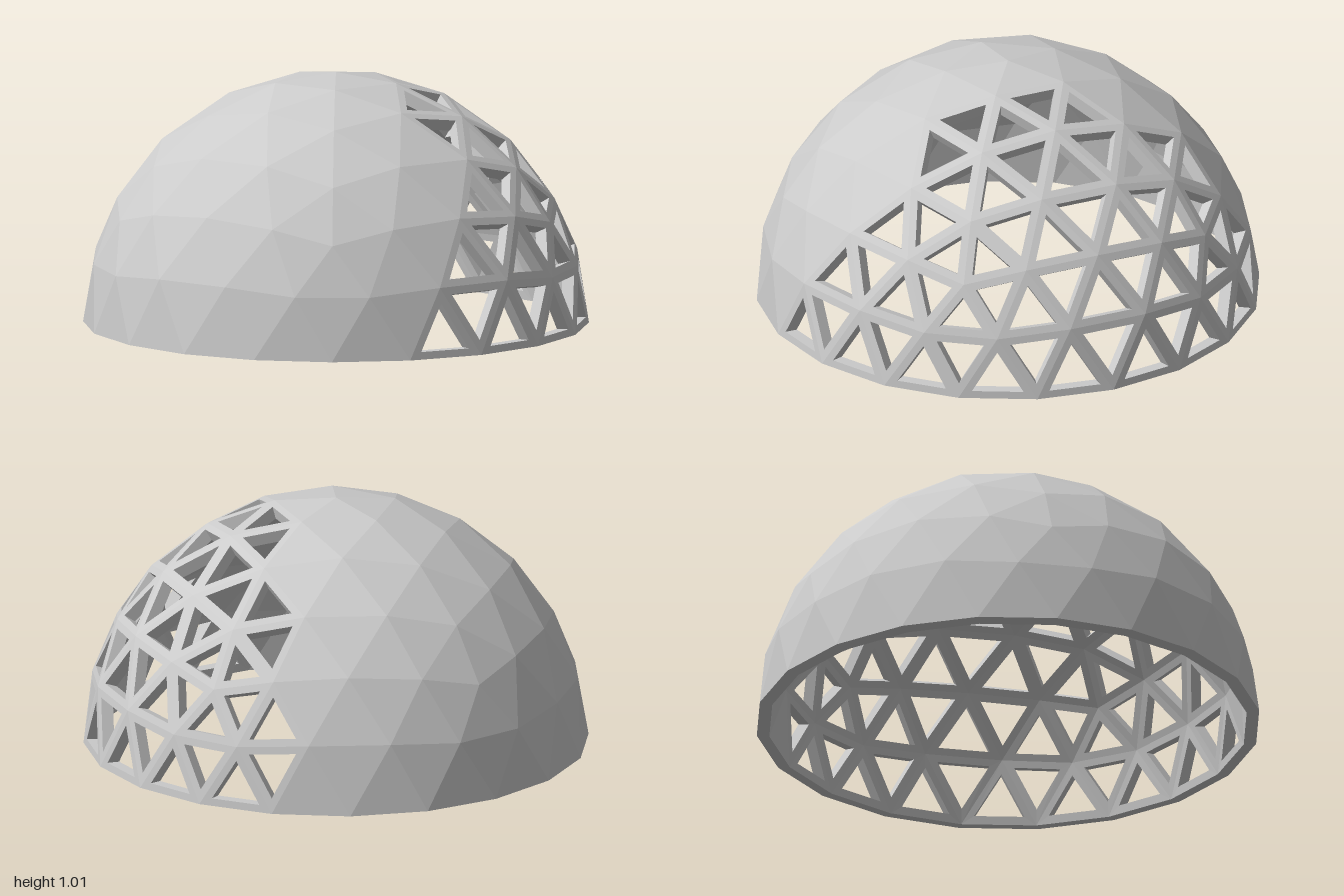
import * as THREE from 'three';

const SHELL = 0.95;   // inner surface as a fraction of the outer radius
const INSET = 0.03;   // half the strut width
const LIFT = 0.007;   // the inner rim sits slightly lower than the outer rim
const FREQ = 4;       // subdivisions per icosahedron edge

// Azimuth range (degrees, from +x towards +z) of open panels in each row from the top
const OPEN = [null, [10, 100], [-14, 100], [-19, 102], [-21, 113], [-22, 121]];

const ringPoint = (deg, y) => {
  const a = THREE.MathUtils.degToRad(deg), r = Math.sqrt(1 - y * y);
  return new THREE.Vector3(r * Math.cos(a), y, r * Math.sin(a));
};

const inner = (p) => {
  const q = p.clone().multiplyScalar(SHELL);
  if (Math.abs(p.y) < 1e-4) q.y = -LIFT;
  return q;
};

// Geodesic triangles of the upper half, each with its row counted from the top
function domeTriangles() {
  const list = [];
  const split = (a, b, c, rowOf) => {
    const at = (i, j) => new THREE.Vector3()
      .addScaledVector(a, (FREQ - i) / FREQ)
      .addScaledVector(b, (i - j) / FREQ)
      .addScaledVector(c, j / FREQ).normalize();
    const add = (row, p, q, r) => {
      if (row >= 6) return;
      const n = q.clone().sub(p).cross(r.clone().sub(p));
      list.push({ row, pts: n.dot(p) > 0 ? [p, q, r] : [p, r, q] });
    };
    for (let i = 0; i < FREQ; i++) {
      for (let j = 0; j <= i; j++) {
        add(rowOf(i), at(i, j), at(i + 1, j), at(i + 1, j + 1));
        if (j < i) add(rowOf(i), at(i, j), at(i, j + 1), at(i + 1, j + 1));
      }
    }
  };
  const top = new THREE.Vector3(0, 1, 0), h = Math.sqrt(0.2);
  for (let s = 0; s < 5; s++) {
    const u0 = ringPoint(72 * s, h), u1 = ringPoint(72 * s + 72, h);
    const l0 = ringPoint(72 * s + 36, -h), l1 = ringPoint(72 * s + 108, -h);
    split(top, u0, u1, (i) => i);
    split(l0, u0, u1, (i) => 7 - i);
    split(u1, l0, l1, (i) => 4 + i);
  }
  return list;
}

function isOpen({ row, pts }) {
  if (!OPEN[row]) return false;
  const c = pts[0].clone().add(pts[1]).add(pts[2]);
  let az = THREE.MathUtils.radToDeg(Math.atan2(c.z, c.x));
  if (az < -90) az += 360;
  return az > OPEN[row][0] && az < OPEN[row][1];
}

// Corners of the triangle moved in by INSET from every side
function insetTriangle([a, b, c]) {
  const la = b.distanceTo(c), lb = c.distanceTo(a), lc = a.distanceTo(b);
  const sum = la + lb + lc;
  const centre = new THREE.Vector3().addScaledVector(a, la / sum)
    .addScaledVector(b, lb / sum).addScaledVector(c, lc / sum);
  const area = b.clone().sub(a).cross(c.clone().sub(a)).length() / 2;
  const k = 1 - INSET / (2 * area / sum);
  return [a, b, c].map((p) => centre.clone().lerp(p, k));
}

export function createModel() {
  const group = new THREE.Group();
  group.name = 'geodesicDome';
  const material = new THREE.MeshStandardMaterial({ color: 0xcccccc, flatShading: true });
  const panels = [], lattice = [], rim = [];
  const tri = (out, a, b, c) => { for (const p of [a, b, c]) out.push(p.x, p.y, p.z); };
  const quad = (out, a, b, c, d) => { tri(out, a, b, c); tri(out, a, c, d); };

  for (const t of domeTriangles()) {
    const o = t.pts, n = o.map(inner);
    if (isOpen(t)) {
      // Strut frame around an open triangle: outside, inside and hole walls
      const ho = insetTriangle(o), hn = ho.map((p) => p.clone().multiplyScalar(SHELL));
      for (let i = 0; i < 3; i++) {
        const j = (i + 1) % 3;
        quad(lattice, o[i], o[j], ho[j], ho[i]);
        quad(lattice, n[j], n[i], hn[i], hn[j]);
        quad(lattice, ho[i], ho[j], hn[j], hn[i]);
      }
    } else {
      tri(panels, ...o);
      tri(panels, n[0], n[2], n[1]);
    }
    // Ground edge closing the shell
    for (let i = 0; i < 3; i++) {
      const j = (i + 1) % 3;
      if (Math.abs(o[i].y) < 1e-4 && Math.abs(o[j].y) < 1e-4) quad(rim, o[j], o[i], n[i], n[j]);
    }
  }

  for (const [name, data] of Object.entries({ solidPanels: panels, openLattice: lattice, baseRim: rim })) {
    const geometry = new THREE.BufferGeometry();
    geometry.setAttribute('position', new THREE.Float32BufferAttribute(data, 3));
    geometry.computeVertexNormals();
    const mesh = new THREE.Mesh(geometry, material);
    mesh.name = name;
    mesh.position.y = LIFT;
    group.add(mesh);
  }
  return group;
}
